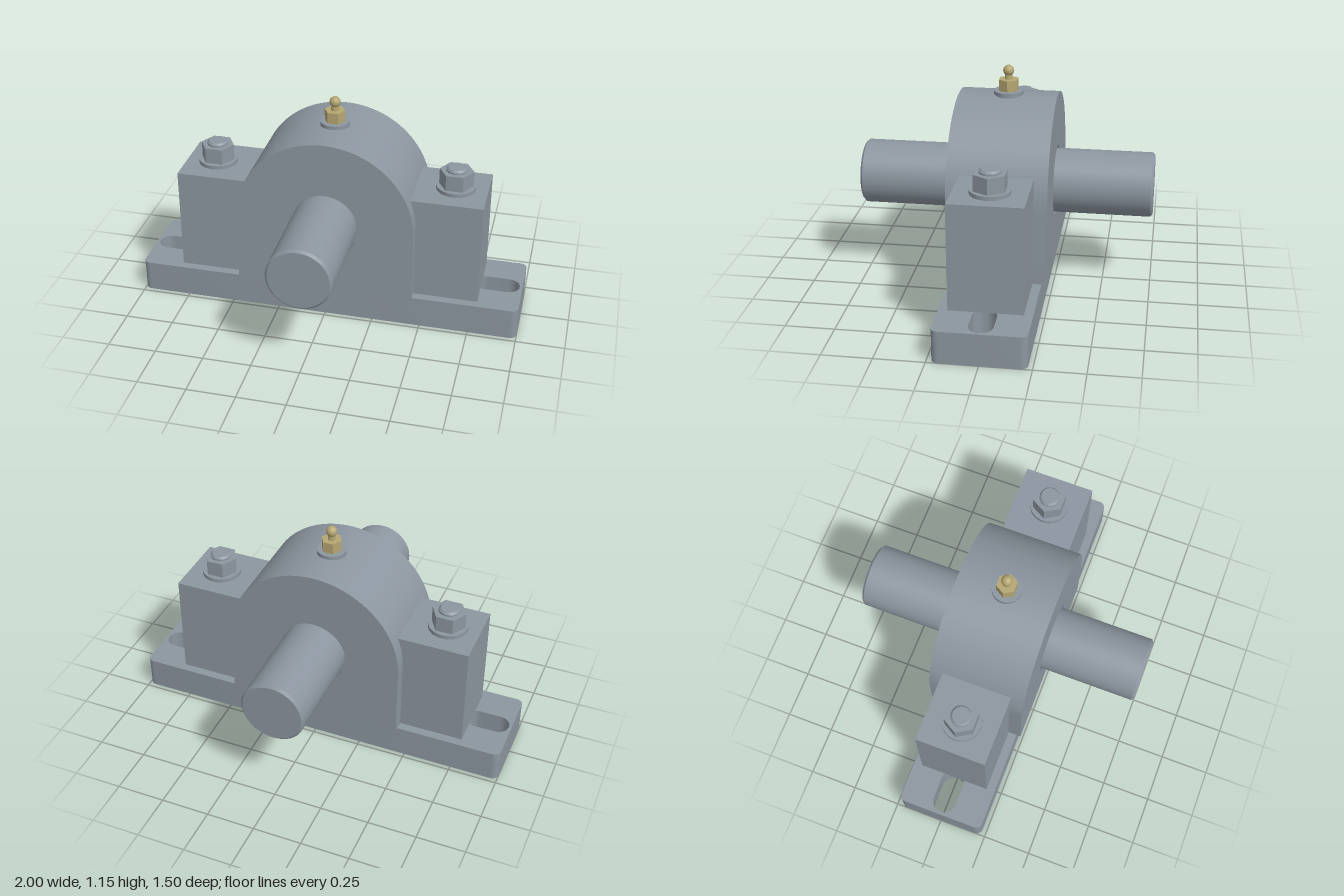
import * as THREE from 'three';
import { toCreasedNormals } from 'three/addons/utils/BufferGeometryUtils.js';

const steel = new THREE.MeshStandardMaterial({ color: 0x8c96a0 });
steel.name = 'steel grey';
const brass = new THREE.MeshStandardMaterial({ color: 0xb5a672 });
brass.name = 'brass';

const AXIS_Y = 0.543;  // height of the shaft axis
const BASE_TOP = 0.165;

function part(parent, name, geometry, material, x = 0, y = 0, z = 0) {
  const mesh = new THREE.Mesh(geometry, material);
  mesh.name = name;
  mesh.position.set(x, y, z);
  parent.add(mesh);
  return mesh;
}

function extrude(shape, depth) {
  const g = new THREE.ExtrudeGeometry(shape, { depth, bevelEnabled: false, curveSegments: 32 });
  return toCreasedNormals(g, 0.5);
}

// Solid of revolution from [radius, height] pairs, with crisp edges
function turned(profile, segments = 48) {
  const points = profile.map(([r, y]) => new THREE.Vector2(r, y));
  return toCreasedNormals(new THREE.LatheGeometry(points, segments), 0.5);
}

// Hexagonal prism standing on y = 0, corners pointing along x
function hexPrism(radius, height) {
  const g = new THREE.CylinderGeometry(radius, radius, height, 6, 1, false, Math.PI / 6);
  return toCreasedNormals(g.translate(0, height / 2, 0), 0.5);
}

// Rounded bar outline with two mounting slots
function baseGeometry() {
  const w = 1, d = 0.227, r = 0.035;
  const s = new THREE.Shape();
  s.absarc(w - r, d - r, r, 0, Math.PI / 2);
  s.absarc(-w + r, d - r, r, Math.PI / 2, Math.PI);
  s.absarc(-w + r, -d + r, r, Math.PI, Math.PI * 1.5);
  s.absarc(w - r, -d + r, r, Math.PI * 1.5, Math.PI * 2);
  s.closePath();
  for (const side of [-1, 1]) {
    const slot = new THREE.Path();
    slot.absarc(side * 0.87 + 0.055, 0, 0.06, -Math.PI / 2, Math.PI / 2);
    slot.absarc(side * 0.87 - 0.055, 0, 0.06, Math.PI / 2, Math.PI * 1.5);
    slot.closePath();
    s.holes.push(slot);
  }
  return extrude(s, BASE_TOP).rotateX(-Math.PI / 2);
}

// Arched bearing block with a through bore
function housingGeometry() {
  const r = 0.457;
  const s = new THREE.Shape();
  s.moveTo(-r, BASE_TOP);
  s.lineTo(r, BASE_TOP);
  s.absarc(0, AXIS_Y, r, 0, Math.PI);
  s.closePath();
  const bore = new THREE.Path();
  bore.absarc(0, AXIS_Y, 0.177, 0, Math.PI * 2, true);
  s.holes.push(bore);
  return extrude(s, 0.5).translate(0, 0, -0.25);
}

export function createModel() {
  const model = new THREE.Group();
  model.name = 'pillowBlockBearing';

  part(model, 'base', baseGeometry(), steel);
  part(model, 'housing', housingGeometry(), steel);

  // Shaft with chamfered ends, in a slightly recessed bushing
  const shaft = turned([[0, -0.75], [0.153, -0.75], [0.165, -0.738],
    [0.165, 0.738], [0.153, 0.75], [0, 0.75]], 64).rotateX(Math.PI / 2);
  part(model, 'shaft', shaft, steel, 0, AXIS_Y);
  const bushing = turned([[0, -0.23], [0.177, -0.23], [0.177, 0.23], [0, 0.23]], 64).rotateX(Math.PI / 2);
  part(model, 'bushing', bushing, steel, 0, AXIS_Y);

  // Bolted shoulders on both sides
  for (const side of [-1, 1]) {
    const shoulder = new THREE.Group();
    shoulder.name = side > 0 ? 'leftShoulder' : 'rightShoulder';
    shoulder.position.x = side * 0.625;
    model.add(shoulder);
    const height = 0.71 - BASE_TOP;
    part(shoulder, 'pedestal', new THREE.BoxGeometry(0.388, height, 0.365), steel,
      side * -0.031, BASE_TOP + height / 2);
    part(shoulder, 'washer', turned([[0, 0], [0.1, 0], [0.1, 0.02], [0, 0.02]]), steel, 0, 0.71);
    part(shoulder, 'nut', hexPrism(0.087, 0.083), steel, 0, 0.73);
    part(shoulder, 'boltEnd', turned([[0, 0], [0.053, 0], [0.053, 0.01], [0.043, 0.02], [0, 0.02]]),
      steel, 0, 0.812);
  }

  // Grease fitting on the crown
  const fitting = new THREE.Group();
  fitting.name = 'greaseFitting';
  fitting.position.y = 1;
  model.add(fitting);
  part(fitting, 'boss', turned([[0, -0.03], [0.074, -0.03], [0.074, 0.018], [0, 0.018]]), steel);
  part(fitting, 'fittingHex', hexPrism(0.053, 0.058), brass, 0, 0.018);
  part(fitting, 'fittingNeck', turned([[0.02, 0.07], [0.018, 0.11]], 24), brass);
  part(fitting, 'fittingBall', new THREE.SphereGeometry(0.028, 24, 16), brass, 0, 0.12);

  return model;
}
